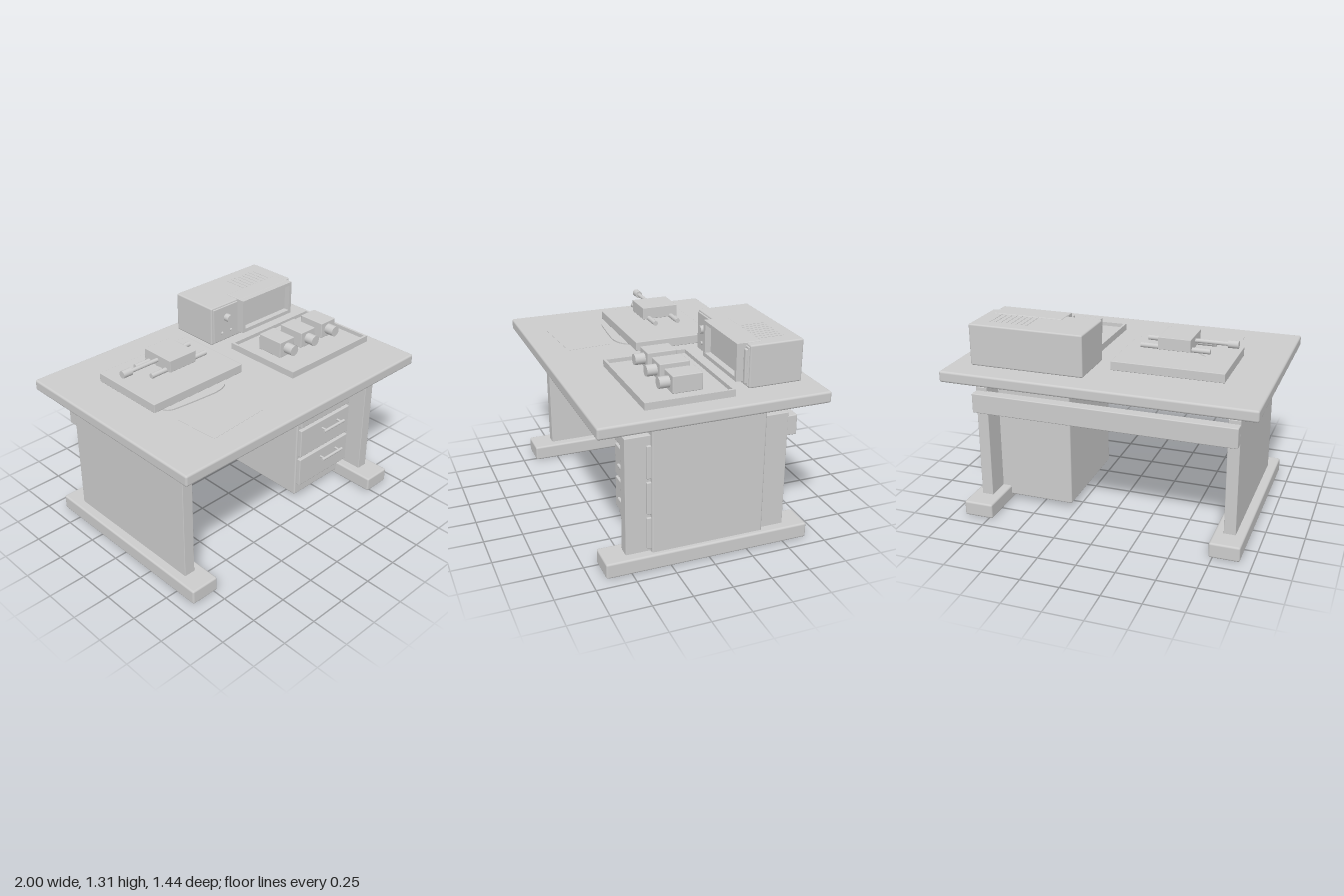
import * as THREE from 'three';
import { RoundedBoxGeometry } from 'three/addons/geometries/RoundedBoxGeometry.js';

export function createModel() {
  const root = new THREE.Group();
  root.name = 'workbench';
  const grey = new THREE.MeshStandardMaterial({ color: 0xcccccc });
  grey.name = 'plain grey';

  const add = (name, geometry, parent = root) => {
    const mesh = new THREE.Mesh(geometry, grey);
    mesh.name = name;
    parent.add(mesh);
    return mesh;
  };
  // Box given by its extents, with optional rounded edges
  const box = (name, x0, x1, y0, y1, z0, z1, r = 0, parent = root) => {
    const [w, h, d] = [x1 - x0, y1 - y0, z1 - z0];
    const geometry = r ? new RoundedBoxGeometry(w, h, d, 2, r) : new THREE.BoxGeometry(w, h, d);
    const mesh = add(name, geometry, parent);
    mesh.position.set((x0 + x1) / 2, (y0 + y1) / 2, (z0 + z1) / 2);
    return mesh;
  };
  // Cylinder from a to b along the named axis, centred on (x, y, z) otherwise
  const rod = (name, axis, a, b, r, x, y, z, parent = root) => {
    const geometry = new THREE.CylinderGeometry(r, r, b - a, 24);
    if (axis === 'x') geometry.rotateZ(Math.PI / 2);
    if (axis === 'z') geometry.rotateX(Math.PI / 2);
    const mesh = add(name, geometry, parent);
    mesh.position.set(x, y, z);
    mesh.position[axis] = (a + b) / 2;
    return mesh;
  };
  const group = (name) => {
    const g = new THREE.Group();
    g.name = name;
    root.add(g);
    return g;
  };

  // Desk
  const desk = group('desk');
  box('deskTop', -1, 1, 0.945, 1.018, -0.72, 0.72, 0.014, desk);
  for (const s of [-1, 1]) {
    const c = s * 0.8225;
    box('legPanel', c - 0.038, c + 0.038, 0.09, 0.86, -0.518, 0.52, 0.004, desk);
    box('foot', c - 0.098, c + 0.098, 0, 0.1, -0.66, 0.66, 0.013, desk);
  }
  box('backBeam', -0.86, 0.86, 0.705, 0.835, -0.58, -0.505, 0.006, desk);

  // Drawer cabinet
  const cabinet = group('drawerCabinet');
  box('cabinetBody', 0.285, 0.89, 0.037, 0.91, -0.36, 0.363, 0.01, cabinet);
  for (const y of [0.225, 0.459, 0.693]) {
    box('drawerFront', 0.3, 0.875, y - 0.106, y + 0.106, 0.35, 0.39, 0.006, cabinet);
    rod('drawerHandle', 'x', 0.485, 0.69, 0.01, 0, y + 0.044, 0.43, cabinet);
    for (const x of [0.51, 0.665]) rod('handlePost', 'z', 0.385, 0.43, 0.007, x, y + 0.044, 0, cabinet);
  }

  // Paper sheet
  const paper = box('paper', -0.65, -0.225, 1.018, 1.0195, 0.245, 0.54);
  paper.rotation.y = 0.07;

  // Positioning stage
  const stage = group('positioningStage');
  box('basePlate', -0.727, -0.01, 1.033, 1.092, -0.4, 0.13, 0.004, stage);
  const mat = new THREE.Shape();
  mat.moveTo(-0.66, -0.13);
  mat.quadraticCurveTo(-0.65, -0.165, -0.6, -0.172);
  mat.bezierCurveTo(-0.5, -0.185, -0.4, -0.192, -0.32, -0.197);
  mat.quadraticCurveTo(-0.2, -0.202, -0.16, -0.13);
  mat.lineTo(-0.2, 0.12);
  mat.lineTo(-0.62, 0.12);
  const matGeometry = new THREE.ExtrudeGeometry(mat, { depth: 0.009, bevelEnabled: false, curveSegments: 10 });
  matGeometry.rotateX(-Math.PI / 2).translate(0, 1.026, 0);
  add('underlay', matGeometry, stage);
  const tip = box('smallClip', -0.555, -0.505, 1.091, 1.097, -0.128, -0.112, 0, stage);
  tip.rotation.z = 0.3;
  box('carriage', -0.475, -0.268, 1.15, 1.228, -0.257, -0.015, 0.003, stage);
  for (const z of [-0.215, -0.058]) rod('guideRail', 'x', -0.59, -0.148, 0.016, 0, 1.155, z, stage);
  rod('leadScrew', 'x', -0.7, -0.45, 0.013, 0, 1.192, -0.138, stage);
  rod('screwKnob', 'x', -0.747, -0.682, 0.024, 0, 1.192, -0.138, stage);

  // Parts tray with three cameras
  const tray = group('partsTray');
  box('trayFloor', 0.168, 0.892, 1.033, 1.052, -0.143, 0.407, 0, tray);
  for (const z of [-0.146, 0.394]) box('trayRimLong', 0.165, 0.897, 1.033, 1.077, z, z + 0.016, 0, tray);
  for (const x of [0.165, 0.881]) box('trayRimShort', x, x + 0.016, 1.033, 1.077, -0.146, 0.41, 0, tray);
  for (const x of [0.33, 0.53, 0.73]) {
    box('cameraBody', x - 0.066, x + 0.066, 1.06, 1.168, 0.015, 0.203, 0.005, tray);
    rod('cameraLens', 'z', 0.195, 0.268, 0.035, x, 1.114, 0, tray);
  }

  // Measuring instrument
  const scope = group('measuringInstrument');
  box('casing', 0.092, 0.835, 1.038, 1.304, -0.605, -0.26, 0.01, scope);
  box('frontPanel', 0.105, 0.825, 1.05, 1.292, -0.27, -0.25, 0.004, scope);
  box('topHood', 0.325, 0.785, 1.28, 1.309, -0.355, -0.235, 0.006, scope);
  box('screen', 0.33, 0.785, 1.085, 1.3, -0.255, -0.235, 0, scope);
  box('sideTrim', 0.795, 0.822, 1.065, 1.28, -0.26, -0.235, 0.006, scope);
  // Screen surround with an opening
  const frame = new THREE.Shape();
  frame.moveTo(0.32, 1.075).lineTo(0.79, 1.075).lineTo(0.79, 1.308).lineTo(0.32, 1.308).closePath();
  const hole = new THREE.Path();
  hole.moveTo(0.345, 1.1).lineTo(0.345, 1.285).lineTo(0.768, 1.285).lineTo(0.768, 1.1).closePath();
  frame.holes.push(hole);
  const frameGeometry = new THREE.ExtrudeGeometry(frame, { depth: 0.058, bevelEnabled: false });
  add('screenSurround', frameGeometry.translate(0, 0, -0.253), scope);
  // Controls
  rod('dialKnob', 'z', -0.255, -0.212, 0.026, 0.22, 1.21, 0, scope);
  for (const x of [0.18, 0.26]) rod('button', 'z', -0.255, -0.238, 0.01, x, 1.105, 0, scope);
  // Top vents
  for (let i = 0; i < 8; i++) {
    const x = 0.48 + i * 0.035;
    box('ventSlat', x, x + 0.012, 1.302, 1.306, -0.52, -0.35, 0, scope);
  }
  // Rubber feet
  for (const x of [0.2, 0.73]) {
    for (const z of [-0.33, -0.535]) rod('rubberFoot', 'y', 1.018, 1.045, 0.018, x, 0, z, scope);
  }
  return root;
}
